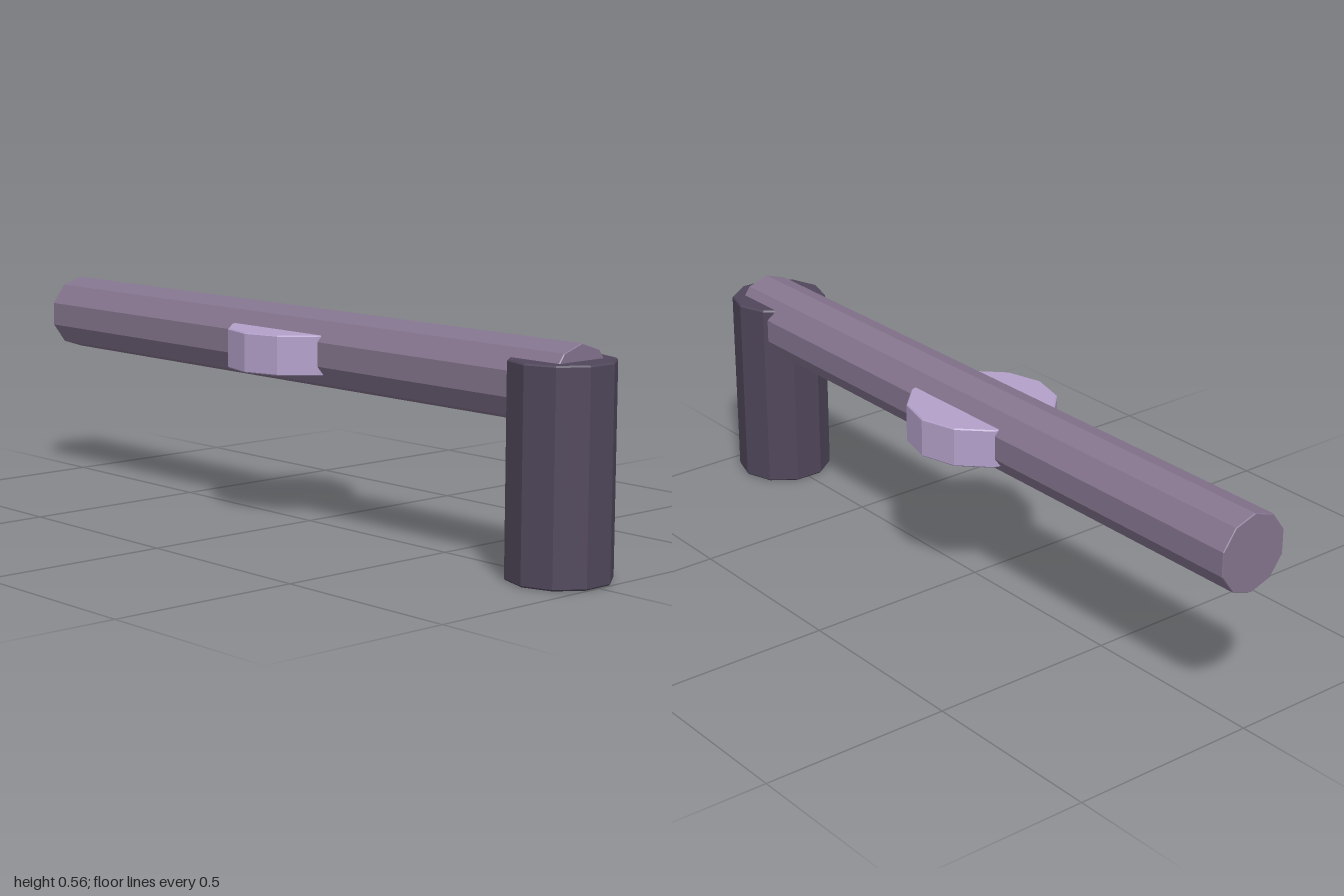
import * as THREE from 'three';

// Closed faceted prism along y with a tiny bevel at both rims.
function prism(radius, height, sides, bevel, phiStart = 0) {
  const profile = [
    [0, 0], [radius - bevel, 0], [radius, bevel],
    [radius, height - bevel], [radius - bevel, height], [0, height],
  ].map(([r, y]) => new THREE.Vector2(r, y));
  const geometry = new THREE.LatheGeometry(profile, sides, phiStart).toNonIndexed();
  geometry.computeVertexNormals(); // flat facets
  return geometry;
}

function material(name, color) {
  const m = new THREE.MeshStandardMaterial({ color });
  m.name = name;
  return m;
}

export function createModel() {
  const group = new THREE.Group();
  const add = (name, geometry, mat, x, y) => {
    const mesh = new THREE.Mesh(geometry, mat);
    mesh.name = name;
    mesh.position.set(x, y, 0);
    group.add(mesh);
  };

  const barColour = material('dusty purple', 0x85758f);
  const postColour = material('dark plum', 0x50475b);
  const discColour = material('pale lilac', 0xb3a0c9);

  // Long horizontal bar, a ridge facing straight up
  const bar = prism(0.1, 1.935, 10, 0.002, Math.PI / 2);
  bar.rotateZ(-Math.PI / 2);
  add('bar', bar, barColour, -1, 0.458);

  // Upright post under the end of the bar
  add('post', prism(0.129, 0.517, 10, 0.004), postColour, 0.876, 0);

  // Flat disc through the middle of the bar
  add('disc', prism(0.193, 0.102, 12, 0.003), discColour, -0.03, 0.403);

  return group;
}
